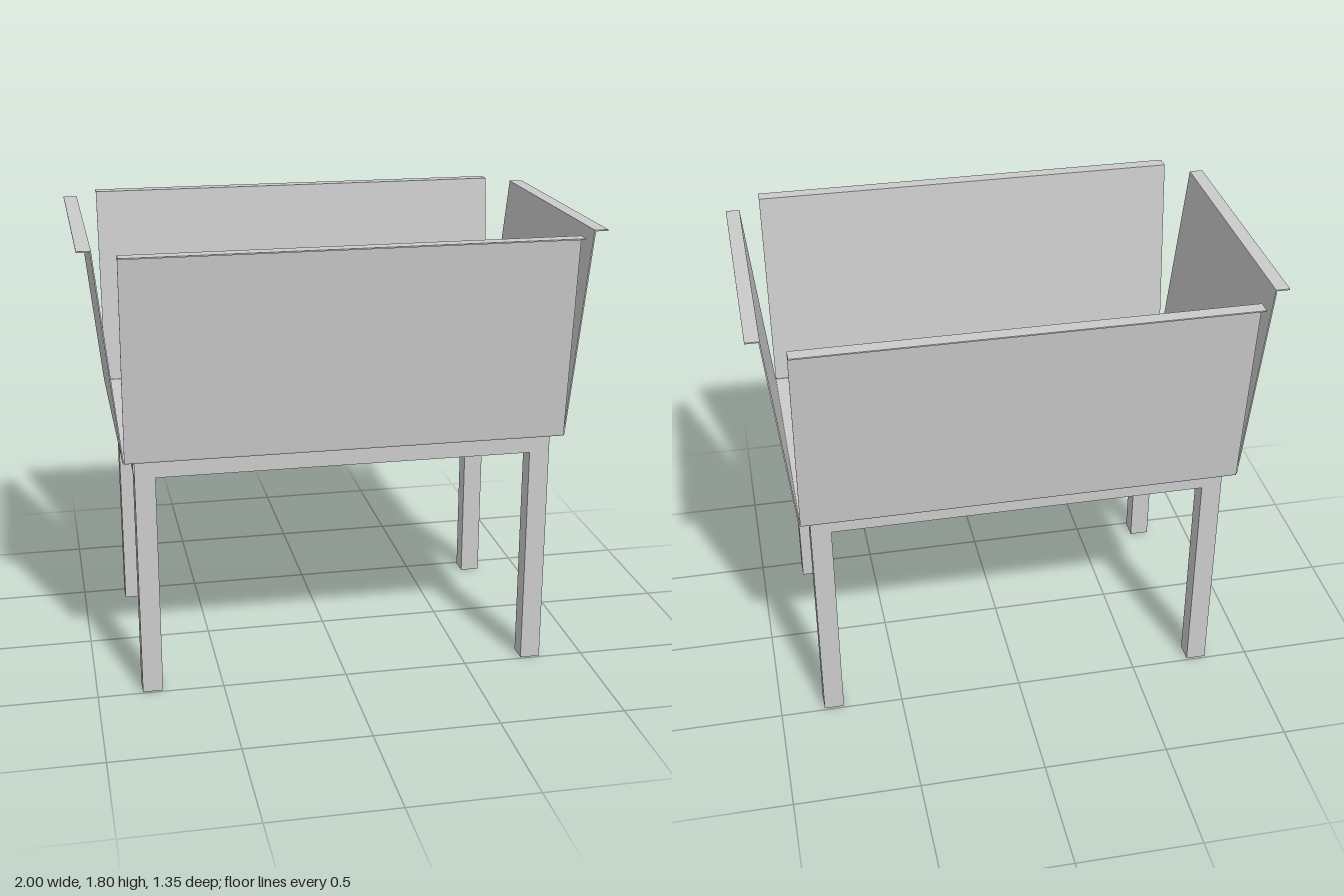
import * as THREE from 'three';

const material = new THREE.MeshStandardMaterial({ color: 0xcccccc, flatShading: true, side: THREE.DoubleSide });

const SHEET = 0.005;             // sheet metal thickness
const WALL = 0.004;              // tube wall thickness
const TUBE = 0.08;               // square tube width
const LEG_X = 0.782, LEG_Z = 0.451;
const FRAME_BOTTOM = 0.904, FRAME_TOP = 0.984;
const BASE_X = 0.861, BASE_Z = 0.535, RIM = 1.8;

function addMesh(parent, name, geometry) {
  const mesh = new THREE.Mesh(geometry, material);
  mesh.name = name;
  parent.add(mesh);
  return mesh;
}

function square(PathType, half) {
  return new PathType([[-1, -1], [1, -1], [1, 1], [-1, 1]].map(([x, y]) => new THREE.Vector2(x * half, y * half)));
}

// Open-ended square tube, centred, running along z
function tubeGeometry(length) {
  const shape = square(THREE.Shape, TUBE / 2);
  shape.holes.push(square(THREE.Path, TUBE / 2 - WALL));
  return new THREE.ExtrudeGeometry(shape, { depth: length, bevelEnabled: false }).translate(0, 0, -length / 2);
}

// Bent sheet: short curl from the base, sloping wall, outward rim flange
function panelGeometry(edge, length) {
  const profile = [
    [0, FRAME_TOP], [0.004, FRAME_TOP], [0.006, FRAME_TOP + 0.006],
    [0.09, RIM - SHEET], [0.139, RIM - SHEET], [0.139, RIM],
    [0.085, RIM], [0.001, FRAME_TOP + 0.006], [0, FRAME_TOP + SHEET],
  ];
  const shape = new THREE.Shape(profile.map(([u, y]) => new THREE.Vector2(edge + u, y)));
  return new THREE.ExtrudeGeometry(shape, { depth: length, bevelEnabled: false }).translate(0, 0, -length / 2);
}

export function createModel() {
  const model = new THREE.Group();
  model.name = 'trayOnStand';

  // Stand: four legs under a rectangular frame of tubes
  const stand = new THREE.Group();
  stand.name = 'stand';
  model.add(stand);
  const railY = (FRAME_BOTTOM + FRAME_TOP) / 2;

  const legGeometry = tubeGeometry(FRAME_BOTTOM).rotateX(Math.PI / 2);
  const longRail = tubeGeometry(2 * LEG_X + TUBE).rotateY(Math.PI / 2);
  const shortRail = tubeGeometry(2 * LEG_Z - TUBE);
  for (const s of [1, -1]) {
    for (const x of [LEG_X, -LEG_X]) {
      const end = s > 0 ? 'front' : 'back';
      addMesh(stand, end + (x > 0 ? 'LeftLeg' : 'RightLeg'), legGeometry)
        .position.set(x, FRAME_BOTTOM / 2, s * LEG_Z);
    }
    addMesh(stand, s > 0 ? 'frontRail' : 'backRail', longRail).position.set(0, railY, s * LEG_Z);
    addMesh(stand, s > 0 ? 'leftRail' : 'rightRail', shortRail).position.set(s * LEG_X, railY, 0);
  }

  // Tray: flat base with four folded panels, open at the corners
  const tray = new THREE.Group();
  tray.name = 'tray';
  model.add(tray);
  addMesh(tray, 'trayBase', new THREE.BoxGeometry(2 * BASE_X, SHEET, 2 * BASE_Z))
    .position.y = FRAME_TOP + SHEET / 2;

  const sidePanel = panelGeometry(BASE_X, 2 * BASE_Z);
  const longPanel = panelGeometry(BASE_Z, 2 * BASE_X);
  addMesh(tray, 'leftPanel', sidePanel);
  addMesh(tray, 'rightPanel', sidePanel).rotation.y = Math.PI;
  addMesh(tray, 'frontPanel', longPanel).rotation.y = -Math.PI / 2;
  addMesh(tray, 'backPanel', longPanel).rotation.y = Math.PI / 2;

  return model;
}
